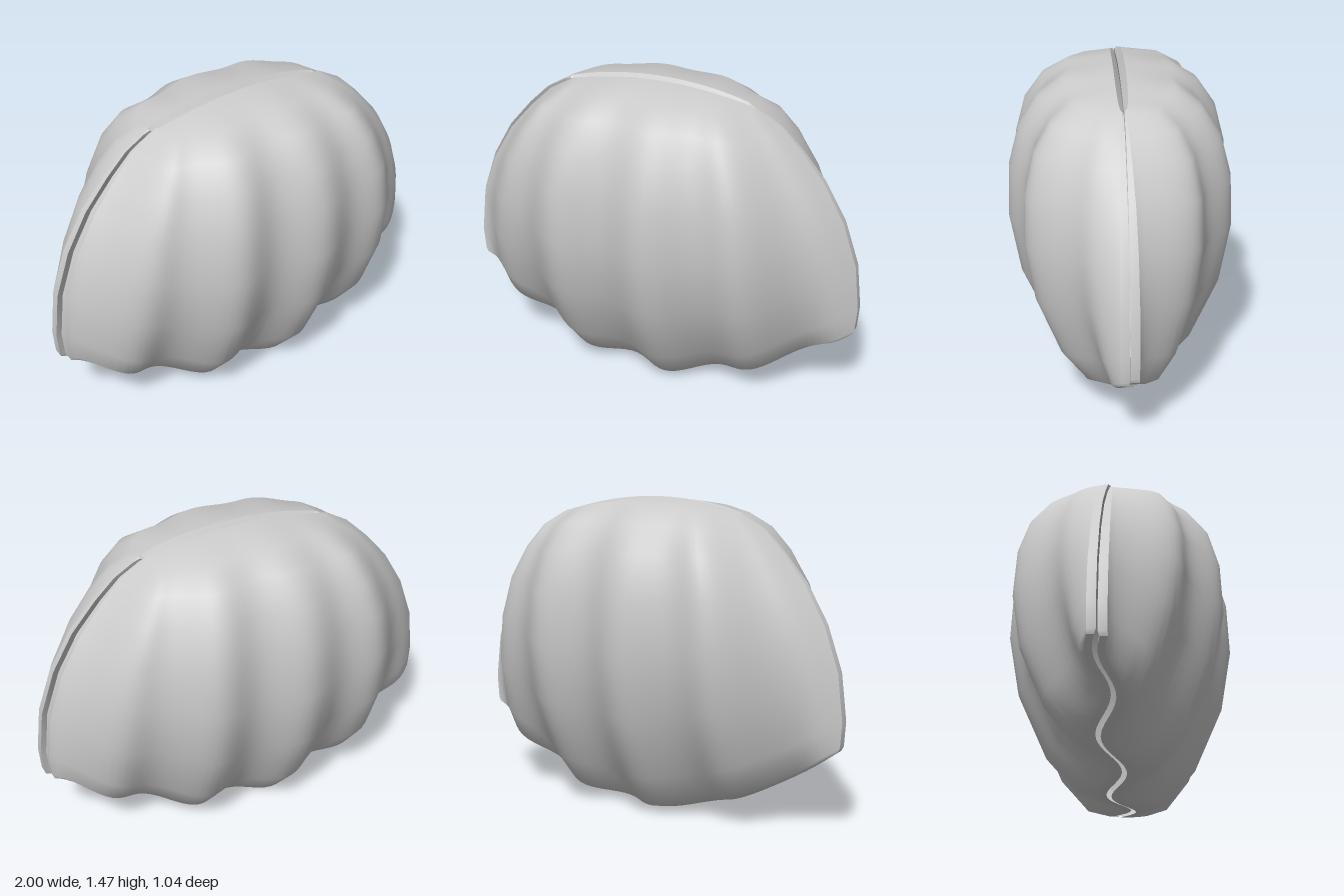
import * as THREE from 'three';

// Growth rows from hinge to mouth: height fraction, depth, half width, rib strength
const ROWS = [
  [1, 0.028, 0.45, 0.0], [0.983, 0.235, 0.48, 0.012], [0.93, 0.35, 0.575, 0.02],
  [0.84, 0.435, 0.672, 0.025], [0.71, 0.482, 0.788, 0.028], [0.54, 0.49, 0.89, 0.03],
  [0.34, 0.435, 0.962, 0.034], [0.13, 0.292, 0.988, 0.042], [0.02, 0.15, 0.98, 0.045],
  [0, 0.045, 0.972, 0.045],
];
const COLS = 64;
const SHIFT = 0.012; // each valve sits slightly towards its own left

const fan = (j) => (2 * j) / COLS - 1;
const rib = (u) => Math.sin((2 * Math.PI * u) / 0.44) * (1 - Math.pow(Math.abs(u), 10));
// Thickness of the rim wall, thinning towards the hinge
const lip = (t) => 0.008 + 0.034 * (1 - Math.pow(t, 4));

// Point of the outer shell at row i and column j
function shellPoint(i, j) {
  const [t, depth, half, amp] = ROWS[i];
  const u = fan(j), a = Math.abs(u);
  const arc = Math.sin((u * Math.PI) / 2);
  const x = half * (u + (arc - u) * t * t);
  const bottom = 0.385 * Math.pow(a, 1.9);
  const top = 1.47 - 0.06 * arc * arc;
  const edge = lip(t);
  const z = edge + (depth - edge) * (1 - Math.pow(a, 2.6)) + amp * rib(u);
  return new THREE.Vector3(x + SHIFT, bottom + (top - bottom) * t, z);
}

// Point of the inner shell, whose outer ring is the rim where the valves meet
function innerPoint(i, j) {
  const p = shellPoint(i, j);
  const [t, , , amp] = ROWS[i];
  const u = fan(j);
  const last = ROWS.length - 1;
  if (i === 0 || i === last || j === 0 || j === COLS) {
    p.z = (i === last ? 0.01 : 0.002) + amp * rib(u);
    if (i === 0) p.y -= 0.008 + 0.032 * (1 - u * u);
  } else {
    p.x *= 0.97;
    p.y += 0.03 - 0.07 * t;
    p.z = Math.max(p.z - 0.042, 0.01 + amp * rib(u));
  }
  return p;
}

// Smooth surface through a list of point rows
function loft(rows) {
  const n = rows[0].length;
  const index = [];
  for (let i = 0; i < rows.length - 1; i++) {
    for (let j = 0; j < n - 1; j++) {
      const a = i * n + j, b = a + n;
      index.push(a, b, b + 1, a, b + 1, a + 1);
    }
  }
  const geometry = new THREE.BufferGeometry().setFromPoints(rows.flat());
  geometry.setIndex(index);
  geometry.computeVertexNormals();
  return geometry;
}

function createValve(material) {
  const valve = new THREE.Group();
  const makeGrid = (point) => ROWS.map((_, i) =>
    Array.from({ length: COLS + 1 }, (_, j) => point(i, j)));
  const outer = makeGrid(shellPoint);
  const inner = makeGrid(innerPoint);

  const part = (name, rows) => {
    const mesh = new THREE.Mesh(loft(rows), material);
    mesh.name = name;
    valve.add(mesh);
  };
  // Strip joining one border of the outer shell to the same border inside
  const wall = (name, border) => part(name, [border(outer), border(inner)]);

  part('ribbedShell', outer);
  part('hollowInside', inner.map((row) => [...row].reverse()));
  wall('mouthRim', (grid) => grid[ROWS.length - 1]);
  wall('hingeRim', (grid) => [...grid[0]].reverse());
  wall('rightRim', (grid) => grid.map((row) => row[0]));
  wall('leftRim', (grid) => grid.map((row) => row[COLS]).reverse());
  return valve;
}

export function createModel() {
  const model = new THREE.Group();
  model.name = 'clamShell';
  const shellGrey = new THREE.MeshStandardMaterial({ color: 0xcccccc });
  shellGrey.name = 'shellGrey';
  shellGrey.side = THREE.DoubleSide;

  const front = createValve(shellGrey);
  front.name = 'frontValve';
  // The rear valve is the same shape turned half round, so the wavy rims interlock
  const back = createValve(shellGrey);
  back.name = 'backValve';
  back.rotation.y = Math.PI;
  model.add(front, back);
  return model;
}
